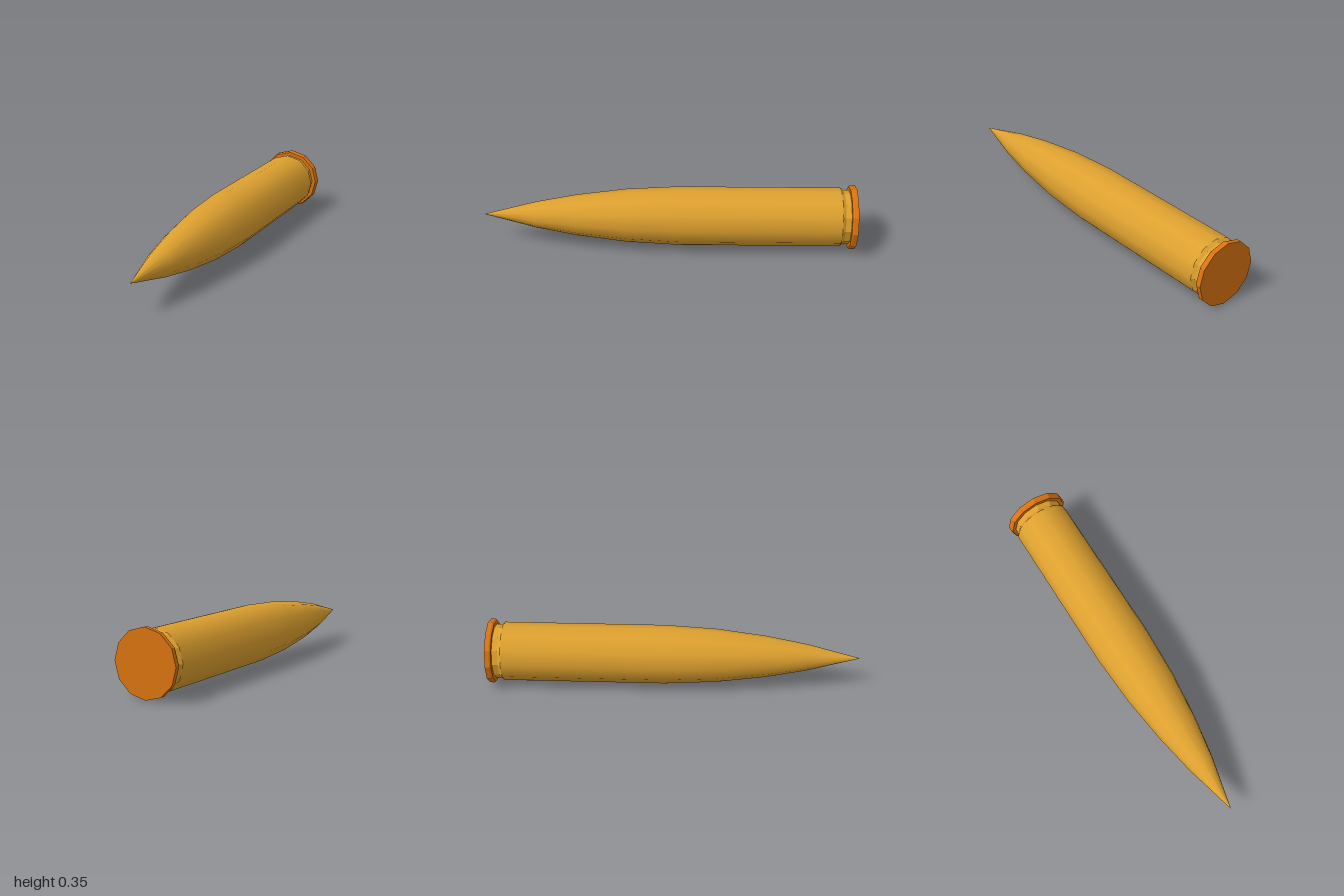
import * as THREE from 'three';

const SIDES = 12;
const RADIUS = 0.173; // largest radius, also the height of the axis

// Revolve [radius, z] points (ordered back to front) around the z axis
function revolve(name, points, material, flat = false) {
  let geometry = new THREE.LatheGeometry(points.map(([r, z]) => new THREE.Vector2(r, z)), SIDES);
  geometry.rotateX(Math.PI / 2);
  if (flat) {
    geometry = geometry.toNonIndexed();
    geometry.computeVertexNormals();
  }
  const mesh = new THREE.Mesh(geometry, material);
  mesh.name = name;
  return mesh;
}

export function createModel() {
  const brass = new THREE.MeshStandardMaterial({ color: 0xdda02f });
  brass.name = 'brass';
  const copper = new THREE.MeshStandardMaterial({ color: 0xd9730f });
  copper.name = 'copper';

  const model = new THREE.Group();
  model.name = 'cartridge';
  const round = new THREE.Group();
  round.position.y = RADIUS;
  model.add(round);

  round.add(
    // Straight case running smoothly into the pointed nose
    revolve('caseAndNose', [
      [0.158, -0.92], [0.158, -0.05], [0.143, 0.23], [0.11, 0.5], [0.07, 0.72], [0, 1],
    ], brass),
    // Narrow groove with a bevelled shoulder
    revolve('extractorGroove', [
      [0.146, -0.967], [0.146, -0.937], [0.158, -0.92],
    ], brass, true),
    // Solid rim with a small bevel at its front edge
    revolve('rim', [
      [0, -1], [RADIUS, -1], [RADIUS, -0.976], [0.167, -0.967], [0.14, -0.967],
    ], copper, true),
  );
  return model;
}
